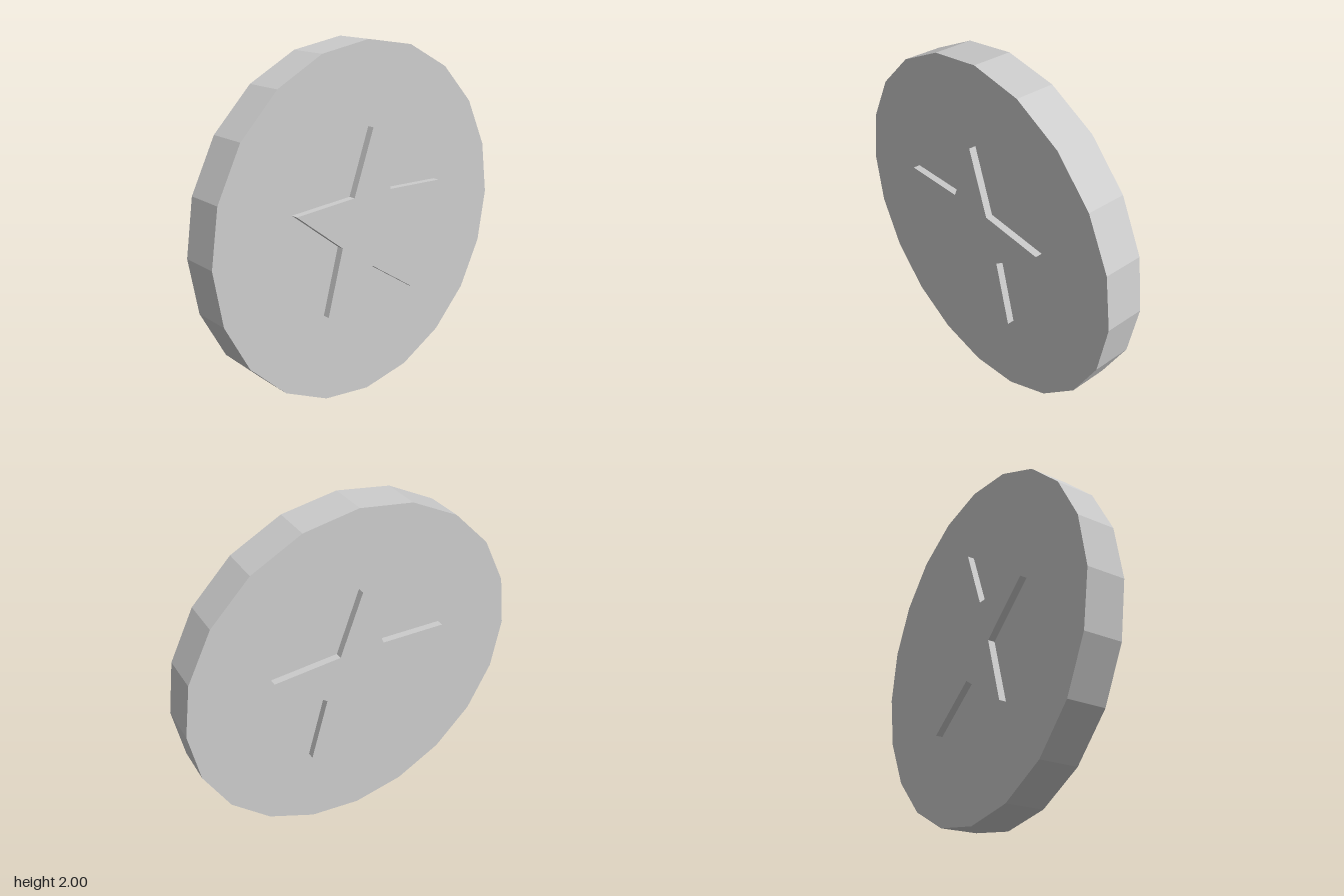
import * as THREE from 'three';

export function createModel() {
  const model = new THREE.Group();
  model.name = 'starCoin';

  const metal = new THREE.MeshStandardMaterial({ color: 0xcccccc, flatShading: true });
  metal.name = 'light grey';

  // Twenty-sided disc standing on its rim
  const discGeometry = new THREE.CylinderGeometry(1, 1, 0.22, 20);
  discGeometry.rotateX(Math.PI / 2);
  const disc = new THREE.Mesh(discGeometry, metal);
  disc.name = 'disc';
  disc.position.y = 1;
  model.add(disc);

  // Right half of the star outline from top to bottom, mirrored for the left
  const half = [[0, 1.55], [0.133, 1.19], [0.52, 1.17], [0.217, 0.93], [0.32, 0.56], [0, 0.775]];
  const mirrored = half.slice(1, -1).reverse().map(([x, y]) => [-x, y]);
  const outline = [...half, ...mirrored].map(([x, y]) => new THREE.Vector2(x, y));

  // Raised star on each face
  for (const [name, z] of [['frontStar', 0.1], ['backStar', -0.15]]) {
    const geometry = new THREE.ExtrudeGeometry(new THREE.Shape(outline), { depth: 0.05, bevelEnabled: false });
    const star = new THREE.Mesh(geometry, metal);
    star.name = name;
    star.position.z = z;
    model.add(star);
  }

  return model;
}
